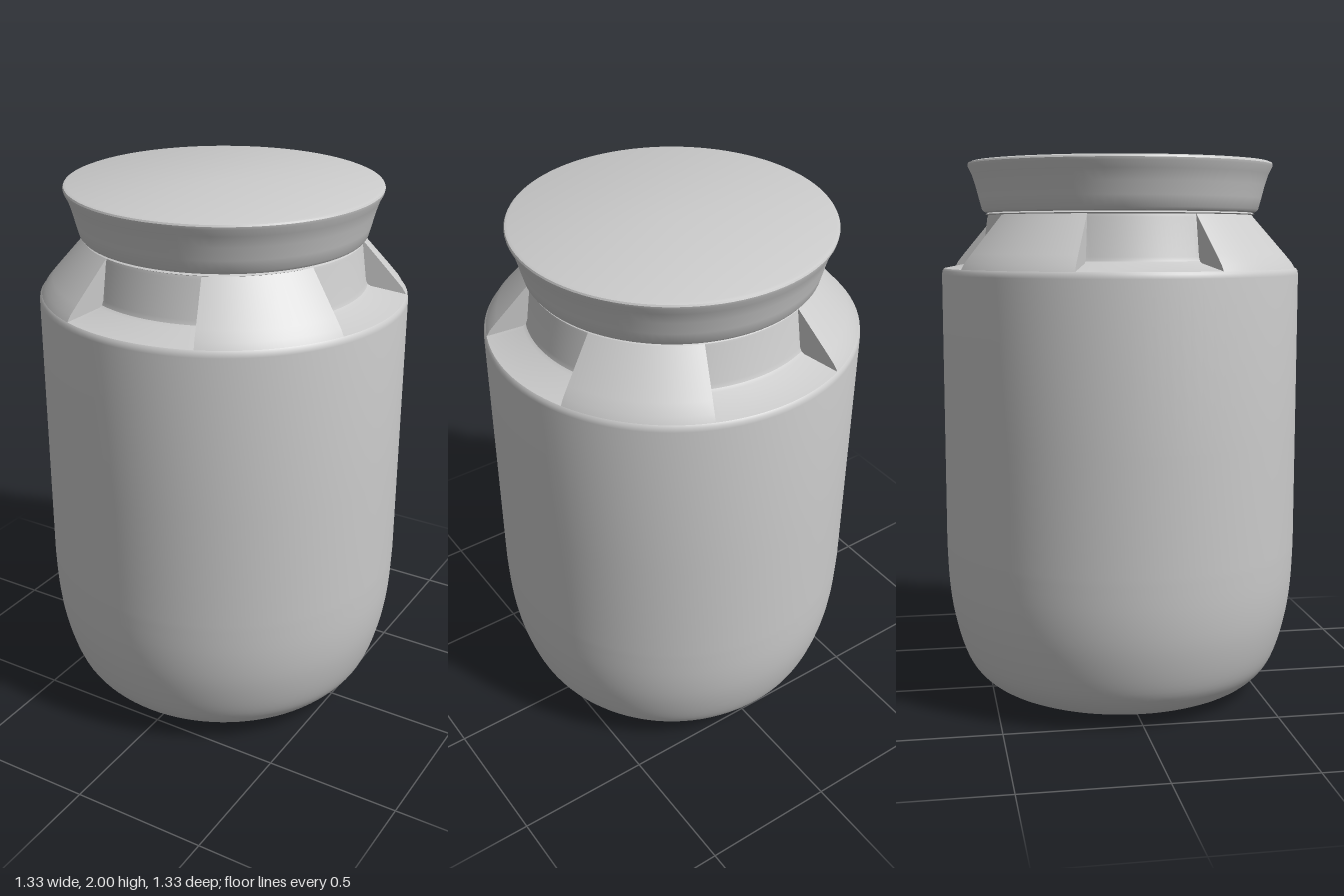
import * as THREE from 'three';
import { toCreasedNormals } from 'three/addons/utils/BufferGeometryUtils.js';

const material = new THREE.MeshStandardMaterial({ color: 0xcccccc, side: THREE.DoubleSide });
const points = (list) => list.map(([r, y]) => new THREE.Vector2(r, y));

function turned(name, profile, segments = 96, start = 0, sweep = Math.PI * 2) {
  const geometry = new THREE.LatheGeometry(profile, segments, start, sweep);
  const mesh = new THREE.Mesh(toCreasedNormals(geometry, 0.6), material);
  mesh.name = name;
  return mesh;
}

export function createModel() {
  const group = new THREE.Group();
  group.name = 'jar';

  // Jar body: flat base, rounded lower corner, straight wall
  const corner = new THREE.SplineCurve(points([
    [0.28, 0.005], [0.4, 0.013], [0.5, 0.045], [0.565, 0.1], [0.605, 0.175],
    [0.64, 0.3], [0.658, 0.43], [0.665, 0.58],
  ])).getPoints(28);
  const wall = points([[0.665, 1.0], [0.665, 1.59], [0.663, 1.605], [0.656, 1.613]]);
  group.add(turned('body', [new THREE.Vector2(0, 0), ...corner, ...wall]));

  // Shoulder: four sloped sections alternating with four recesses
  const half = 0.392;
  const slope = points([[0.656, 1.613], [0.643, 1.635], [0.615, 1.668], [0.49, 1.81]]);
  const recess = points([[0.656, 1.613], [0.53, 1.638], [0.518, 1.645], [0.512, 1.66], [0.495, 1.795], [0.49, 1.81]]);
  const section = new THREE.Shape([...slope, ...recess.slice(1, -1).reverse()]);
  const quarter = Math.PI / 2;
  for (let i = 0; i < 4; i++) {
    const centre = i * quarter;
    group.add(turned('shoulderSection', slope, 24, centre + half, quarter - 2 * half));
    group.add(turned('gripRecess', recess, 24, centre - half, 2 * half));
    for (const side of [-1, 1]) {
      const cheek = new THREE.Mesh(new THREE.ShapeGeometry(section), material);
      cheek.name = 'recessSide';
      cheek.rotation.y = centre + side * half - quarter;
      group.add(cheek);
    }
  }

  // Thin lip around the mouth
  group.add(turned('neckLip', points([
    [0.45, 1.8], [0.49, 1.805], [0.502, 1.81], [0.49, 1.816], [0.45, 1.818],
  ])));

  // Flared lid with softened edges
  group.add(turned('lid', points([
    [0, 1.815], [0.49, 1.815], [0.507, 1.819], [0.514, 1.828], [0.525, 1.868], [0.537, 1.915],
    [0.55, 1.955], [0.563, 1.98], [0.565, 1.99], [0.562, 1.996], [0.552, 2], [0, 2],
  ])));
  return group;
}
